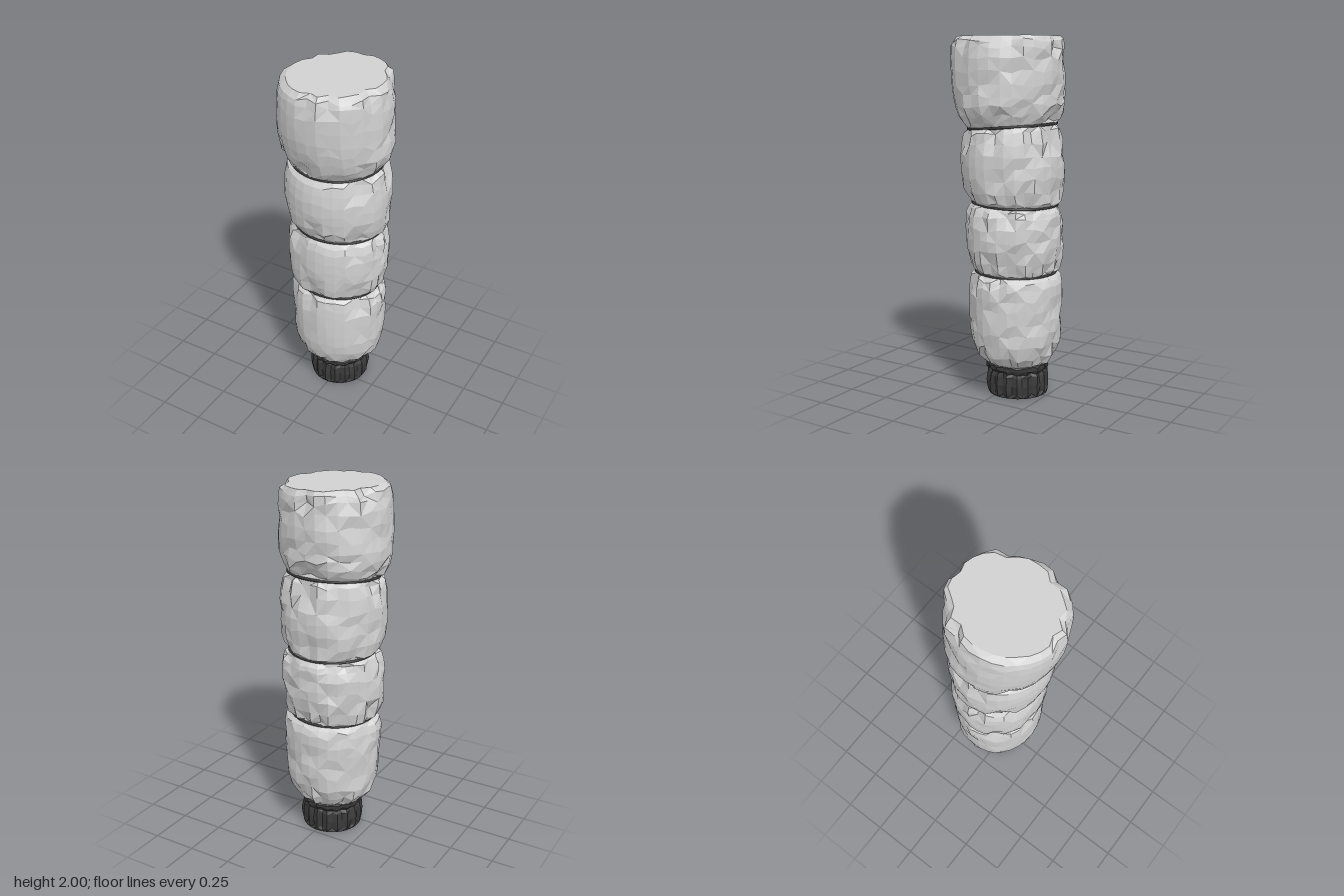
import * as THREE from 'three';

const SIDES = 32;

// Small seeded generator for the crumpled fabric
function seeded(seed) {
  let s = seed;
  return () => ((s = (s * 16807) % 2147483647) / 2147483647);
}

// Point on a row at an angle. Row: [y, xMin, xMax, zBack, zFront, rise at the back]
function rowPoint([y, x0, x1, z0, z1, rise = 0], a, k = 1, dy = 0) {
  return [
    (x0 + x1) / 2 + ((x1 - x0) / 2) * k * Math.sin(a),
    y + dy + (rise * (1 - Math.cos(a))) / 2,
    (z0 + z1) / 2 + ((z1 - z0) / 2) * k * Math.cos(a),
  ];
}

// Faceted loft. shift(row, angle, column) returns [radial scale, y offset].
function loft(rows, sides, shift, capBottom, capTop) {
  const pos = [];
  const rings = rows.map((row, i) => Array.from({ length: sides }, (_, j) => {
    const a = (j / sides) * Math.PI * 2;
    return rowPoint(row, a, ...shift(i, a, j));
  }));
  const tri = (a, b, c) => pos.push(...a, ...b, ...c);
  for (let i = 0; i + 1 < rings.length; i++) {
    for (let j = 0; j < sides; j++) {
      const n = (j + 1) % sides;
      const a = rings[i][j], b = rings[i][n], c = rings[i + 1][n], d = rings[i + 1][j];
      if ((i + j) % 3 === 0) { tri(a, b, d); tri(b, c, d); }
      else { tri(a, b, c); tri(a, c, d); }
    }
  }
  const cap = (i, up) => {
    const mid = rowPoint(rows[i], 0, 0);
    rings[i].forEach((p, j) => {
      const q = rings[i][(j + 1) % sides];
      up ? tri(mid, p, q) : tri(mid, q, p);
    });
  };
  if (capBottom) cap(0, false);
  if (capTop) cap(rows.length - 1, true);
  const g = new THREE.BufferGeometry();
  g.setAttribute('position', new THREE.Float32BufferAttribute(pos, 3));
  g.computeVertexNormals();
  return g;
}

// Quilted panel: gathered dents beside its seams, slanting folds at sides and back
function panel(rows, seed, capTop) {
  const rnd = seeded(seed);
  for (let k = 0; k < 5; k++) rnd();
  const last = rows.length - 1;
  const dents = [0, 1].map(() => Array.from({ length: SIDES }, () => (rnd() < 0.35 ? 0.6 + 0.4 * rnd() : 0)));
  return loft(rows, SIDES, (i, a, j) => {
    if (i === last && capTop) return [1.02 - 0.1 * dents[1][j] - 0.03 * rnd(), 0];
    if (i === 0 || i === last) return [1, 0];
    const edge = Math.min(i, last - i);
    const dent = dents[i < last / 2 ? 0 : 1][j] * [0, 0.1, 0.085, 0.02][Math.min(edge, 3)];
    const back = Math.min(1, Math.max(0, 0.75 - Math.cos(a)));
    const side = Math.abs(Math.PI - a);
    const fold = 0.05 * back * Math.pow(Math.max(0, Math.sin(rows[i][0] * 30 + side * 4 + seed)), 3);
    return [1.005 - dent - fold - (0.006 + 0.007 * back) * rnd(), (rnd() - 0.5) * 0.025];
  }, false, capTop);
}

export function createModel() {
  const model = new THREE.Group();
  const fabric = new THREE.MeshStandardMaterial({ color: 0xd1d1d1 });
  fabric.name = 'light grey fabric';
  const knit = new THREE.MeshStandardMaterial({ color: 0x3a3a3a });
  knit.name = 'dark grey knit';
  const add = (name, geometry, material) => {
    const mesh = new THREE.Mesh(geometry, material);
    mesh.name = name;
    model.add(mesh);
  };

  // Padded panels from wrist to shoulder, meeting in pinched seams
  const seamLow = [0.71, -0.245, 0.225, -0.265, 0.175, -0.01];
  const seamMid = [1.1, -0.25, 0.24, -0.275, 0.19, -0.02];
  const seamHigh = [1.495, -0.255, 0.25, -0.265, 0.215, 0.035];

  add('forearmPanel', panel([
    [0.175, -0.17, 0.15, -0.22, 0.105],
    [0.2, -0.22, 0.195, -0.25, 0.14],
    [0.245, -0.26, 0.238, -0.28, 0.172],
    [0.31, -0.275, 0.26, -0.297, 0.195],
    [0.38, -0.278, 0.268, -0.302, 0.205],
    [0.45, -0.28, 0.27, -0.304, 0.209],
    [0.52, -0.285, 0.272, -0.305, 0.21],
    [0.58, -0.29, 0.274, -0.305, 0.209],
    [0.64, -0.293, 0.274, -0.305, 0.206],
    [0.685, -0.283, 0.262, -0.295, 0.2, -0.01],
    seamLow,
  ], 11), fabric);

  add('elbowPanel', panel([
    seamLow,
    [0.735, -0.28, 0.26, -0.295, 0.205, -0.01],
    [0.785, -0.296, 0.276, -0.304, 0.217, -0.01],
    [0.85, -0.3, 0.285, -0.308, 0.223],
    [0.91, -0.3, 0.288, -0.31, 0.226],
    [0.97, -0.299, 0.288, -0.31, 0.226],
    [1.03, -0.294, 0.285, -0.308, 0.222],
    [1.075, -0.28, 0.272, -0.3, 0.21, -0.02],
    seamMid,
  ], 29), fabric);

  add('upperArmPanel', panel([
    seamMid,
    [1.125, -0.28, 0.27, -0.3, 0.212, -0.02],
    [1.175, -0.297, 0.288, -0.308, 0.238, -0.01],
    [1.24, -0.301, 0.294, -0.312, 0.25],
    [1.3, -0.302, 0.296, -0.313, 0.255],
    [1.36, -0.3, 0.296, -0.311, 0.256],
    [1.42, -0.295, 0.29, -0.303, 0.25, 0.015],
    [1.465, -0.28, 0.278, -0.29, 0.24, 0.03],
    seamHigh,
  ], 47), fabric);

  add('shoulderPanel', panel([
    seamHigh,
    [1.52, -0.285, 0.285, -0.285, 0.235, 0.035],
    [1.56, -0.307, 0.306, -0.303, 0.258, 0.03],
    [1.62, -0.314, 0.313, -0.31, 0.28, 0.015],
    [1.68, -0.314, 0.312, -0.314, 0.297],
    [1.74, -0.311, 0.309, -0.316, 0.308],
    [1.81, -0.306, 0.307, -0.317, 0.315],
    [1.88, -0.3, 0.305, -0.317, 0.318],
    [1.935, -0.294, 0.302, -0.315, 0.316],
    [1.972, -0.282, 0.292, -0.31, 0.308],
    [1.998, -0.245, 0.258, -0.292, 0.28],
  ], 63, true), fabric);

  // Dark thread pulled tight in each seam
  [seamLow, seamMid, seamHigh].forEach((seam, n) => {
    const points = Array.from({ length: 24 }, (_, j) =>
      new THREE.Vector3(...rowPoint(seam, (j / 24) * Math.PI * 2)));
    const curve = new THREE.CatmullRomCurve3(points, true);
    add(`seamThread${n + 1}`, new THREE.TubeGeometry(curve, 48, 0.008, 6, true), knit);
  });

  // Ribbed wrist cuff with a gathered collar
  const rnd = seeded(5);
  add('cuff', loft([
    [0, -0.178, 0.158, -0.228, 0.108],
    [0.02, -0.185, 0.166, -0.233, 0.116],
    [0.07, -0.191, 0.172, -0.237, 0.121],
    [0.12, -0.185, 0.165, -0.233, 0.116],
    [0.137, -0.174, 0.155, -0.223, 0.107],
    [0.153, -0.191, 0.17, -0.236, 0.12],
    [0.176, -0.192, 0.172, -0.237, 0.121],
    [0.194, -0.165, 0.145, -0.21, 0.1],
  ], 36, (i, a, j) => {
    if (i === 0) return [1, 0];
    const rib = j % 2 ? 0.07 : 0;
    return [1.01 - rib * (i < 5 ? 1 : 0.45) - 0.04 * rnd(), i === 7 ? 0 : (rnd() - 0.5) * 0.012];
  }, true, true), knit);

  return model;
}
